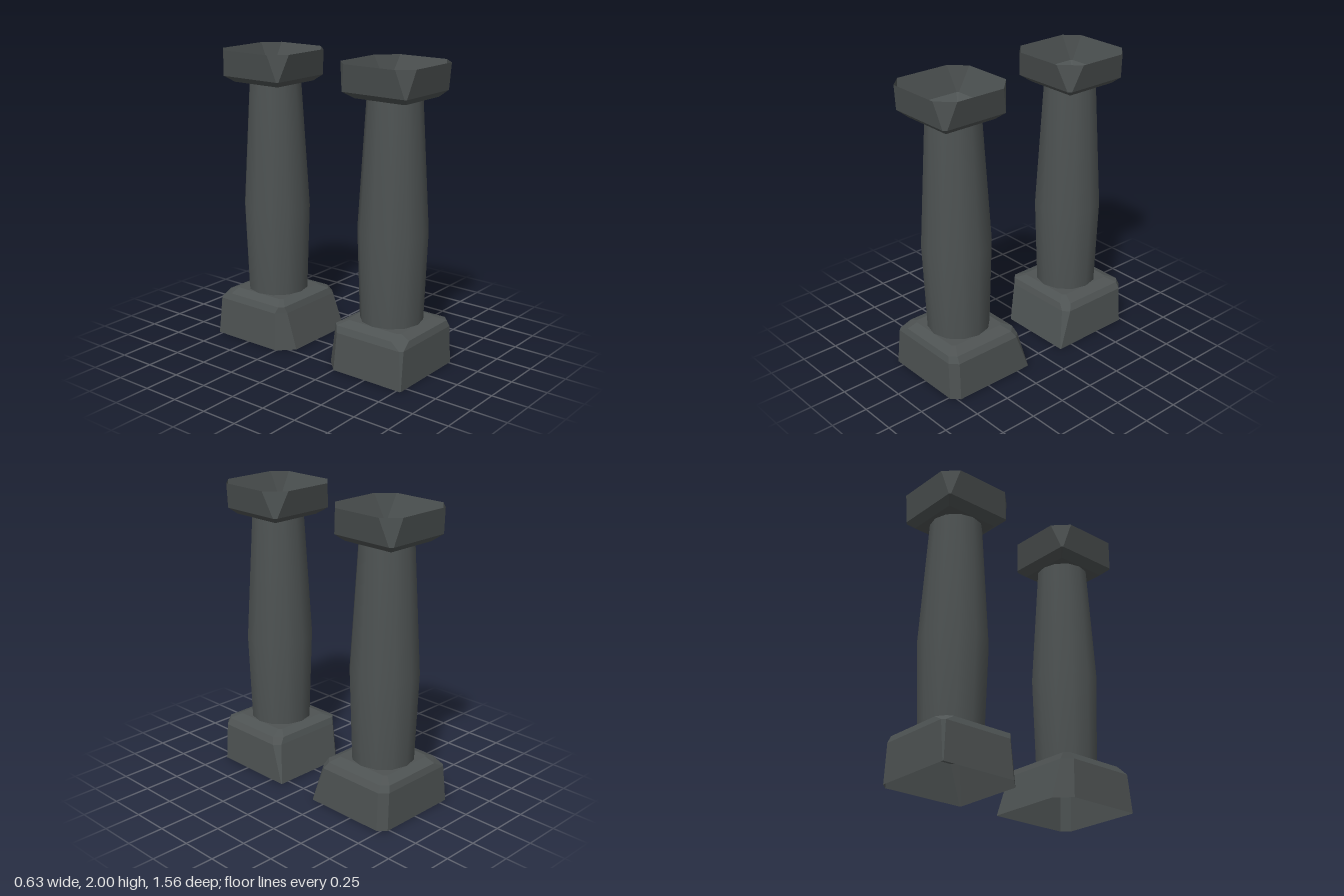
import * as THREE from 'three';

const stone = new THREE.MeshStandardMaterial({ color: 0x4e5353, side: THREE.DoubleSide });
stone.name = 'darkStone';
const facetedStone = stone.clone();
facetedStone.name = 'darkStoneFaceted';
facetedStone.flatShading = true;

// Rectangle with cut corners; cuts = [left inner, right inner, right outer, left outer]
function ring(y, x0, x1, z0, z1, cuts) {
  const [a, b, c, d] = cuts;
  return [
    [x0, y, z0 + a], [x0 + a, y, z0], [x1 - b, y, z0], [x1, y, z0 + b],
    [x1, y, z1 - c], [x1 - c, y, z1], [x0 + d, y, z1], [x0, y, z1 - d],
  ];
}

// Skin stacked rings from bottom to top, with an optional flat lid on one ring
function loft(rings, lidIndex, side) {
  const pos = [];
  const tri = (a, b, c) => {
    const order = side > 0 ? [a, b, c] : [a, c, b];
    for (const p of order) pos.push(p[0], p[1], p[2] * side);
  };
  const n = rings[0].length;
  for (let r = 0; r < rings.length - 1; r++) {
    for (let i = 0; i < n; i++) {
      const j = (i + 1) % n;
      const lo = rings[r], hi = rings[r + 1];
      tri(lo[i], hi[i], hi[j]);
      tri(lo[i], hi[j], lo[j]);
    }
  }
  const lid = rings[lidIndex];
  for (let i = 1; i < n - 1; i++) tri(lid[0], lid[i + 1], lid[i]);
  const geo = new THREE.BufferGeometry();
  geo.setAttribute('position', new THREE.Float32BufferAttribute(pos, 3));
  geo.computeVertexNormals();
  return geo;
}

function add(group, name, geometry, material) {
  const mesh = new THREE.Mesh(geometry, material);
  mesh.name = name;
  group.add(mesh);
  return mesh;
}

// side = 1 for the front column, -1 for its mirror image at the back
function createColumn(side) {
  const column = new THREE.Group();
  column.name = side > 0 ? 'frontColumn' : 'backColumn';

  // Hollow plinth with battered sides and worn corners
  add(column, 'base', loft([
    ring(0, -0.313, 0.313, 0.15, 0.78, [0.1, 0.005, 0.05, 0.005]),
    ring(0.26, -0.298, 0.3, 0.206, 0.775, [0.06, 0.04, 0.05, 0.02]),
    ring(0.303, -0.28, 0.275, 0.22, 0.762, [0.03, 0.05, 0.04, 0.08]),
    ring(0.33, -0.21, 0.2, 0.28, 0.695, [0.02, 0.02, 0.02, 0.02]),
  ], 3, side), facetedStone);

  // Swelling round shaft
  const profile = [[0.207, 0.33], [0.228, 0.93], [0.176, 1.78]]
    .map(([r, y]) => new THREE.Vector2(r, y));
  const shaft = add(column, 'shaft', new THREE.LatheGeometry(profile, 12), stone);
  shaft.position.set(-0.004, 0, 0.488 * side);

  // Open bowl-shaped capital with chipped rim
  add(column, 'capital', loft([
    ring(1.78, -0.187, 0.183, 0.31, 0.69, [0.005, 0.005, 0.005, 0.005]),
    ring(1.823, -0.25, 0.235, 0.255, 0.738, [0.01, 0.02, 0.02, 0.01]),
    ring(2, -0.29, 0.28, 0.207, 0.775, [0.1, 0.12, 0.1, 0.09]),
  ], 0, side), facetedStone);
  return column;
}

export function createModel() {
  const model = new THREE.Group();
  model.name = 'pairOfColumns';
  for (const side of [1, -1]) model.add(createColumn(side));
  return model;
}
